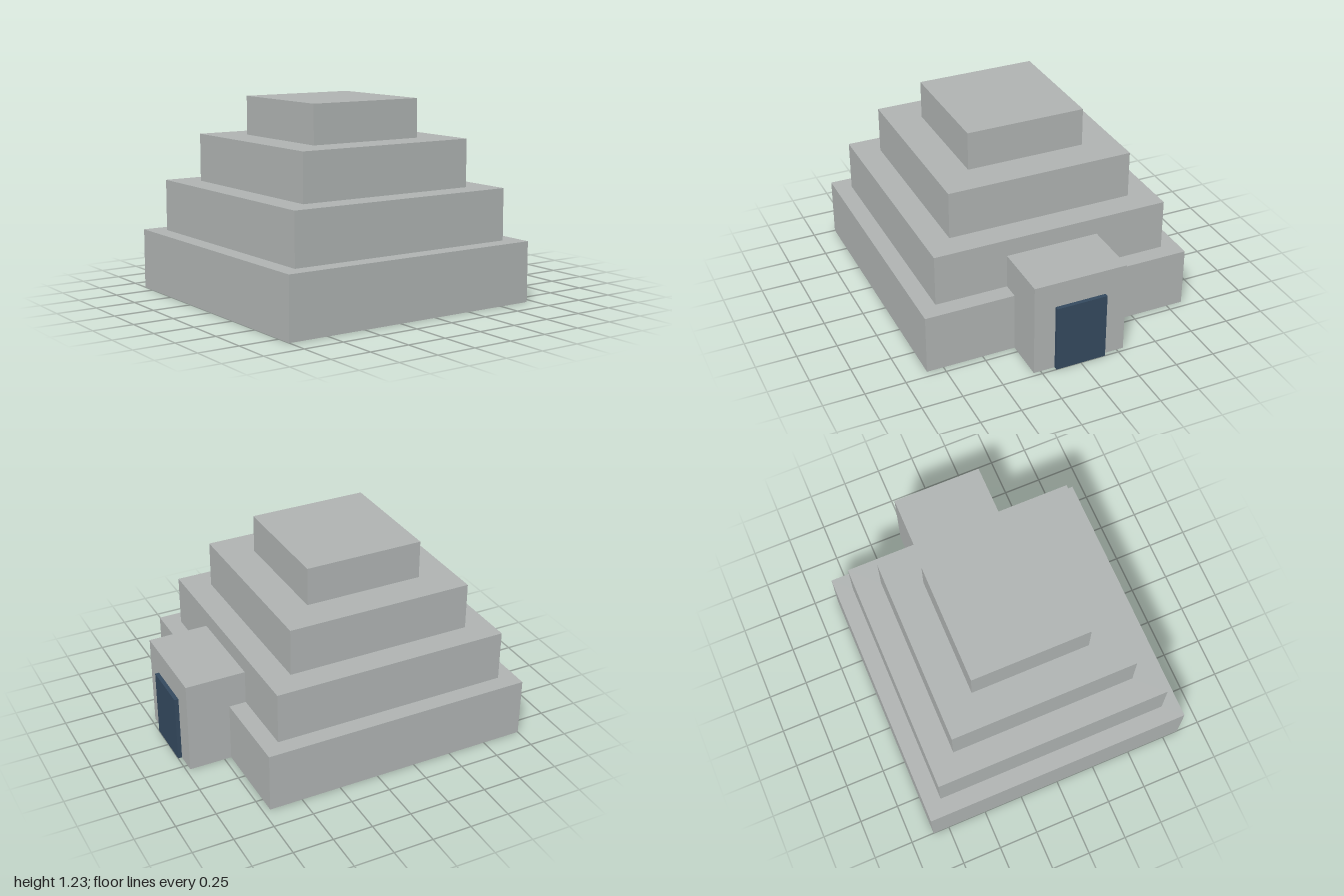
import * as THREE from 'three';

export function createModel() {
  const model = new THREE.Group();
  model.name = 'steppedPyramid';

  const stone = new THREE.MeshStandardMaterial({ color: 0xaeb2b1, side: THREE.DoubleSide });
  stone.name = 'grey stone';
  const doorBlue = new THREE.MeshStandardMaterial({ color: 0x34495e, side: THREE.DoubleSide });
  doorBlue.name = 'dark blue door';

  // Hollow block without a floor, given by its x range, y range and z depth
  function addShell(name, x0, x1, y0, y1, depth, material) {
    const geometry = new THREE.BoxGeometry(x1 - x0, y1 - y0, depth);
    const index = Array.from(geometry.index.array);
    index.splice(18, 6); // drop the bottom face
    geometry.setIndex(index);
    geometry.clearGroups();
    const mesh = new THREE.Mesh(geometry, material);
    mesh.name = name;
    mesh.position.set((x0 + x1) / 2, (y0 + y1) / 2, 0);
    model.add(mesh);
  }

  // Four square tiers, each smaller than the one below: [width, top height]
  const tiers = [[1.707, 0.375], [1.493, 0.695], [1.173, 0.99], [0.747, 1.23]];
  const centreX = -0.147;
  let bottom = 0;
  tiers.forEach(([width, top], i) => {
    addShell(`tier${i + 1}`, centreX - width / 2, centreX + width / 2, bottom, top, width, stone);
    bottom = top;
  });

  // Entrance block reaching into the base, and its door panel
  addShell('entrance', 0.34, 0.975, 0, 0.588, 0.587, stone);
  addShell('door', 0.975, 1, 0, 0.428, 0.32, doorBlue);

  return model;
}
